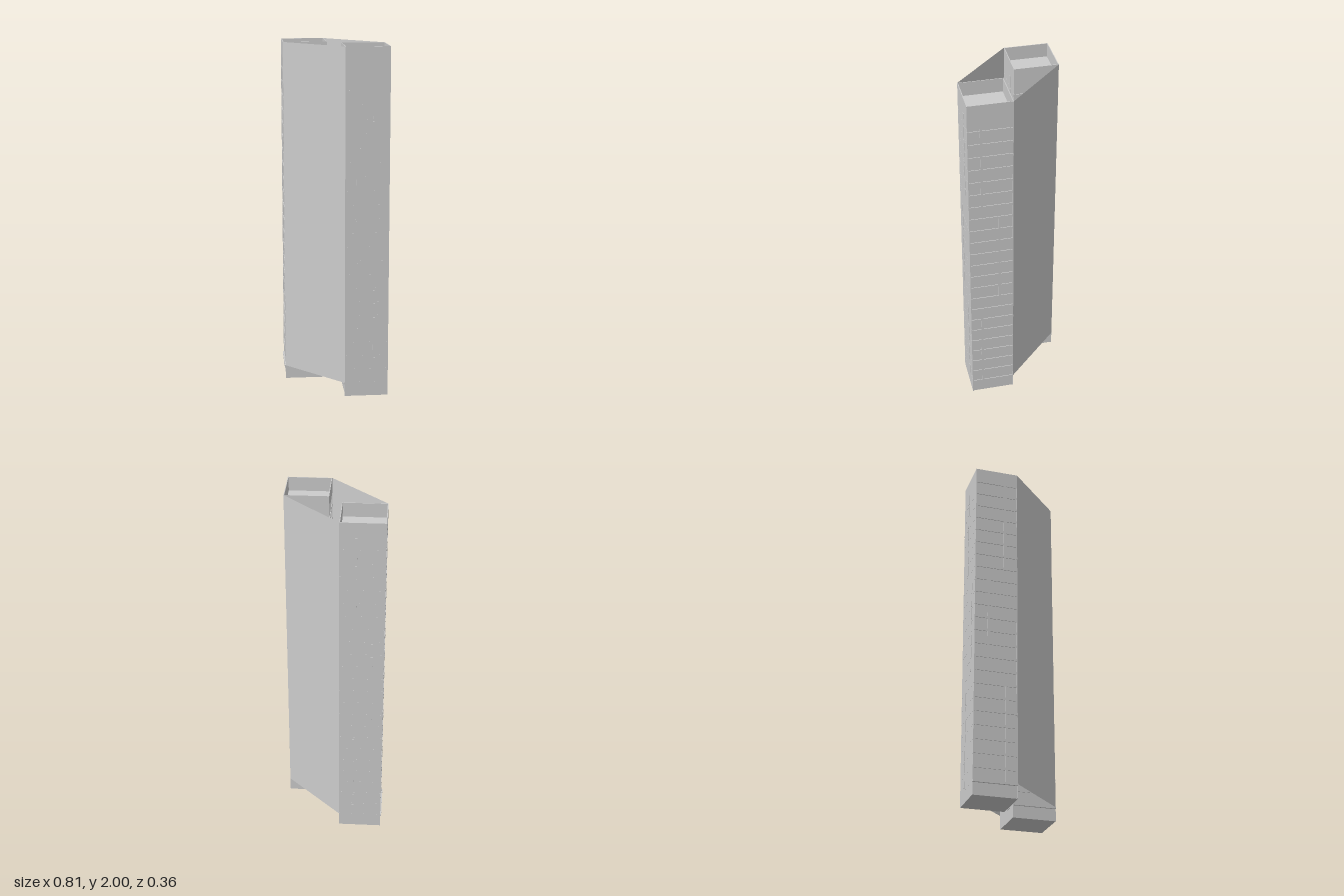
import * as THREE from 'three';

const H = 0.124;        // half side of a square tower
const FLOOR = 0.08;     // storey height
const ROOF = 1.92;
const TOP = 2;
const CENTER = 0.2275;  // tower offset along x
const WALL = 0.004;
const INSET = 0.004;    // depth of the window panes

const material = new THREE.MeshStandardMaterial({ color: 0xcccccc, flatShading: true });
const sheet = new THREE.MeshStandardMaterial({ color: 0xcccccc, side: THREE.DoubleSide });

// Box spanning y0..y1, centred on x, z
function block(parent, name, w, d, y0, y1, x = 0, z = 0) {
  const mesh = new THREE.Mesh(new THREE.BoxGeometry(w, y1 - y0, d), material);
  mesh.position.set(x, (y0 + y1) / 2, z);
  mesh.name = name;
  parent.add(mesh);
}

function createTower() {
  const tower = new THREE.Group();

  // Glazed body with a sunken roof
  block(tower, 'glazedCore', 2 * (H - INSET), 2 * (H - WALL), 0, ROOF);

  for (const s of [-1, 1]) {
    // Blank side walls rise past the roof
    block(tower, 'sideWall', 2 * H, WALL, 0, TOP, 0, s * (H - WALL / 2));
    // Parapets over the window sides
    block(tower, 'parapet', WALL, 2 * (H - WALL), 1.91, TOP, s * (H - WALL / 2));
  }

  // Floor slabs, showing as bands between the window rows
  for (let k = 0; k < 23; k++) {
    const y = 0.07 + k * FLOOR;
    block(tower, 'floorSlab', 2 * H, 2 * H + 0.0006, y, y + 0.014);
  }

  // Ledge above the base on one window side
  block(tower, 'baseLedge', 0.01, 2 * H, 0.07, 0.082, -H - 0.001);

  // Crossing partitions in three stacks of seven storeys
  const stacks = [
    { first: 0, mullion: 0.06, slit: 0.042 },
    { first: 8, mullion: -0.045, slit: -0.057 },
    { first: 16, mullion: 0.05, slit: 0.035 },
  ];
  for (const { first, mullion, slit } of stacks) {
    for (let k = first; k < first + 7; k++) {
      const y0 = 0.084 + k * FLOOR, y1 = y0 + 0.066;
      block(tower, 'windowMullion', 2 * H, 0.012, y0, y1, 0, mullion);
      block(tower, 'wallFin', 0.012, 2 * H + 0.004, y0, y1, slit, 0);
    }
  }

  tower.rotation.y = Math.PI / 4;
  return tower;
}

export function createModel() {
  const model = new THREE.Group();
  model.name = 'twinTowerBlock';

  // Two identical towers set corner-on
  for (const s of [-1, 1]) {
    const tower = createTower();
    tower.name = s < 0 ? 'rightTower' : 'leftTower';
    tower.position.x = s * CENTER;
    model.add(tower);
  }

  // Thin screens joining the front corners and the back corners
  for (const s of [-1, 1]) {
    const screen = new THREE.Mesh(new THREE.PlaneGeometry(2 * CENTER, TOP - FLOOR), sheet);
    screen.name = s > 0 ? 'frontScreen' : 'backScreen';
    screen.position.set(0, (TOP + FLOOR) / 2, s * H * Math.SQRT2);
    if (s < 0) screen.rotation.y = Math.PI;
    model.add(screen);
  }
  return model;
}
